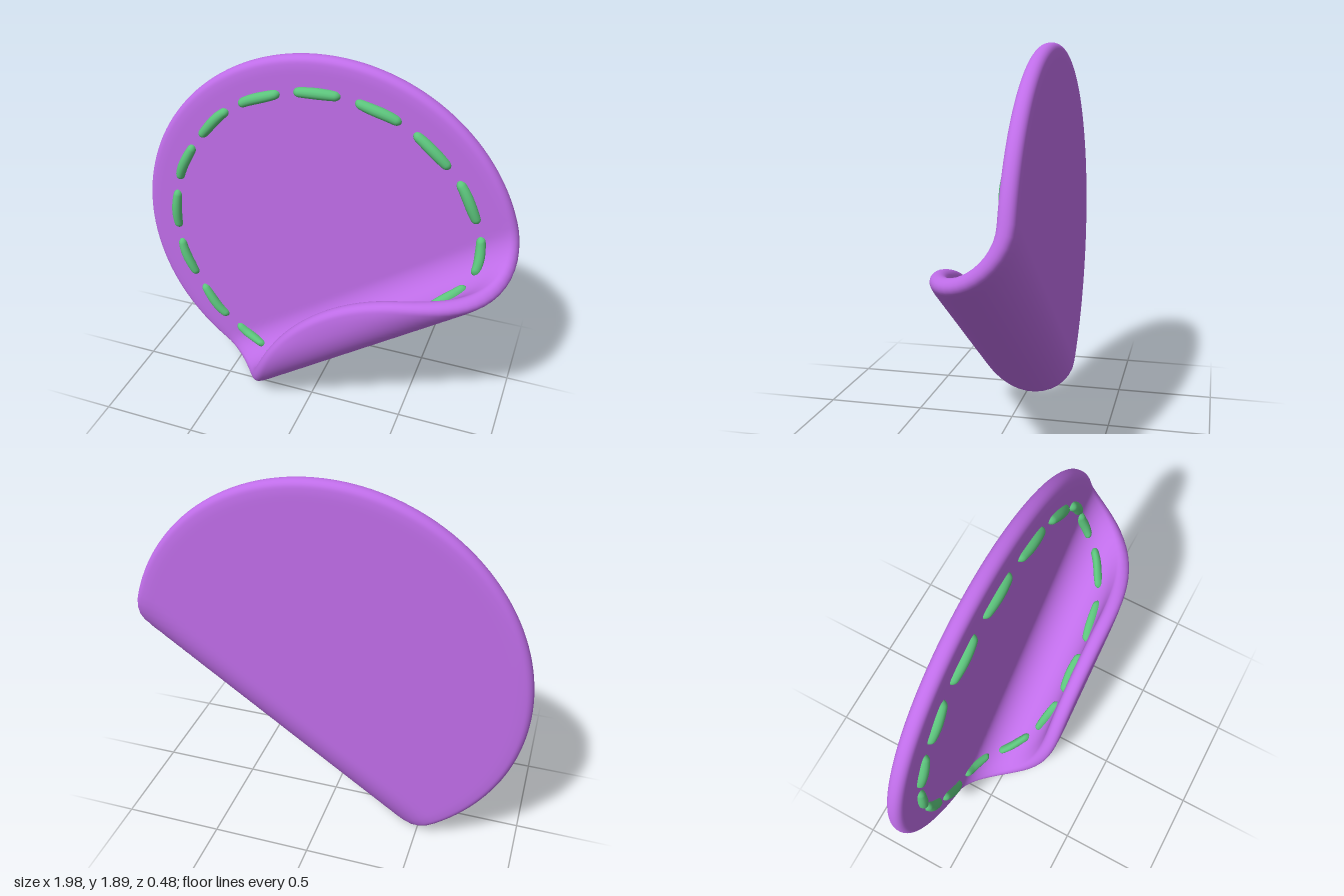
import * as THREE from 'three';
import { mergeVertices } from 'three/addons/utils/BufferGeometryUtils.js';

const CENTER_Y = 0.91, MID_Z = -0.193, HALF = 0.0425; // disc centre and half thickness
const BEND_START = 0.295, BEND_R = 0.195;             // where the curl begins and its radius
const ANGLE = THREE.MathUtils.degToRad(35.3);         // slope of the fold line
const C = Math.cos(ANGLE), S = Math.sin(ANGLE);

// Curl flat disc coordinates: u across the fold, v along it, h above the mid surface
function curl(u, v, h, out) {
  let z = MID_Z + h;
  if (u > BEND_START) {
    const arc = u - BEND_START;
    const t = Math.min(arc / BEND_R, Math.PI);
    const past = Math.max(arc - Math.PI * BEND_R, 0);
    u = BEND_START + (BEND_R - h) * Math.sin(t) - past;
    z = MID_Z + BEND_R - (BEND_R - h) * Math.cos(t);
  }
  return out.set(S * u + C * v, CENTER_Y - C * u + S * v, z);
}

// Apply a rule to every vertex, weld seams and rebuild smooth normals
function reshape(geometry, rule) {
  const pos = geometry.attributes.position, p = new THREE.Vector3();
  for (let i = 0; i < pos.count; i++) {
    p.fromBufferAttribute(pos, i);
    rule(p);
    pos.setXYZ(i, p.x, p.y, p.z);
  }
  geometry.deleteAttribute('normal');
  geometry.deleteAttribute('uv');
  const welded = mergeVertices(geometry, 1e-5);
  welded.computeVertexNormals();
  return welded;
}

// Round patch with a softened rim
function patchGeometry() {
  const half = [];
  for (let i = 0; i <= 44; i++) half.push(new THREE.Vector2(0.93 * i / 44, HALF));
  half.push(new THREE.Vector2(0.95, HALF - 0.001));
  const r = 0.036;
  for (let i = 0; i <= 6; i++) {
    const a = (Math.PI / 2) * (1 - i / 6);
    half.push(new THREE.Vector2(1 - r + r * Math.cos(a), HALF - 0.003 - r + r * Math.sin(a)));
  }
  const profile = half.map(p => new THREE.Vector2(p.x, -p.y)).concat(half.slice().reverse());
  return reshape(new THREE.LatheGeometry(profile, 144), p => curl(p.z, p.x, p.y, p));
}

// One stitch: a plump bead laid along an arc, its ends dipping into the patch
function stitchGeometry(angle, tilt) {
  const radius = 0.83, halfLength = 0.118, width = 0.027;
  const geometry = new THREE.CapsuleGeometry(width, 2 * (halfLength - width), 6, 14, 14);
  return reshape(geometry, p => {
    const t = p.y / halfLength;
    const a = angle + p.y / radius;
    const r = radius + p.x * (1 - 0.2 * t * t) + tilt * Math.sin(t * 2.5);
    const h = HALF + 0.008 - 0.014 * t * t + p.z;
    const x = r * Math.cos(a), y = r * Math.sin(a);
    curl(S * x - C * y, C * x + S * y, h, p);
  });
}

export function createModel() {
  const group = new THREE.Group();
  group.name = 'curledPatch';

  const patch = new THREE.Mesh(patchGeometry(),
    new THREE.MeshStandardMaterial({ color: 0xbf6de8 }));
  patch.name = 'patch';
  group.add(patch);

  // Ring of stitches, following the curl
  const thread = new THREE.MeshStandardMaterial({ color: 0x5cc47c });
  const stitches = new THREE.Group();
  stitches.name = 'stitches';
  const count = 17;
  for (let i = 0; i < count; i++) {
    const angle = THREE.MathUtils.degToRad(92.3) + (i / count) * Math.PI * 2;
    const stitch = new THREE.Mesh(stitchGeometry(angle, 0.004 * Math.sin(i * 2.3)), thread);
    stitch.name = 'stitch';
    stitches.add(stitch);
  }
  group.add(stitches);
  return group;
}
